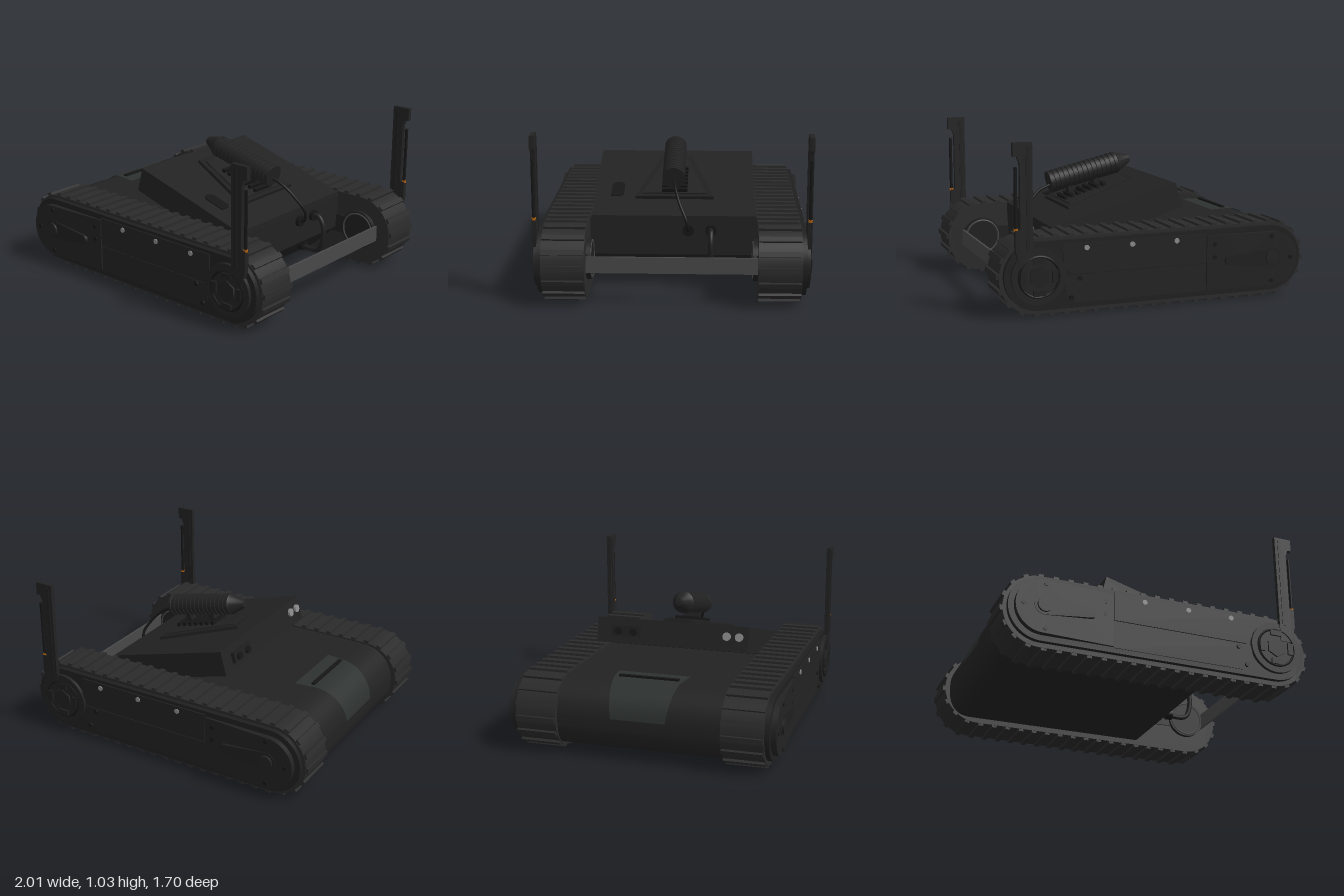
import * as THREE from 'three';
import { toCreasedNormals } from 'three/addons/utils/BufferGeometryUtils.js';

const mat = (color, side = THREE.FrontSide) => new THREE.MeshStandardMaterial({ color, side });
const BODY = mat(0x222222), PLATE = mat(0x1f1f1f), TRACK = mat(0x2a2a2a), DARK = mat(0x161616);
const BAR = mat(0x484848), BOLT = mat(0x8a8a8a), AMBER = mat(0xb06010), PANEL = mat(0x2c312f, THREE.DoubleSide);

export function createModel() {
  const root = new THREE.Group();
  root.name = 'trackedRobot';
  root.rotation.y = 0.017;

  const add = (name, geo, m, x = 0, y = 0, z = 0, parent = root) => {
    const mesh = new THREE.Mesh(geo, m);
    mesh.name = name;
    mesh.position.set(x, y, z);
    parent.add(mesh);
    return mesh;
  };
  const box = (name, m, w, h, d, x, y, z, parent) => add(name, new THREE.BoxGeometry(w, h, d), m, x, y, z, parent);
  // shape in the side plane, extruded evenly about z
  const slab = (name, shape, depth, m, z, parent) => {
    const g = new THREE.ExtrudeGeometry(shape, { depth, bevelEnabled: false, curveSegments: 20 });
    g.translate(0, 0, -depth / 2);
    return add(name, toCreasedNormals(g, 0.6), m, 0, 0, z, parent);
  };
  // short cylinder lying along z
  const disc = (name, r, depth, m, x, y, z, parent, n = 32) =>
    add(name, new THREE.CylinderGeometry(r, r, depth, n).rotateX(Math.PI / 2), m, x, y, z, parent);
  const poly = (pts) => new THREE.Shape(pts.map(([x, y]) => new THREE.Vector2(x, y)));
  const tube = (name, pts, r, m) => add(name, new THREE.TubeGeometry(
    new THREE.CatmullRomCurve3(pts.map((p) => new THREE.Vector3(...p))), 32, r, 10), m);
  // rounded outline around two wheels of different size
  const capsule = (x0, r0, x1, r1, y) => {
    const s = new THREE.Shape();
    s.absarc(x0, y, r0, Math.PI / 2, Math.PI * 1.5, false);
    s.absarc(x1, y, r1, -Math.PI / 2, Math.PI / 2, false);
    return s;
  };

  // ---- track units ----
  const CX = 0.75, CY = 0.243, R = 0.226;
  for (const s of [1, -1]) {
    const unit = new THREE.Group();
    unit.name = s > 0 ? 'frontTrack' : 'backTrack';
    root.add(unit);
    slab('belt', capsule(-CX, R, CX, R, CY), 0.256, TRACK, s * 0.638, unit);
    // cleats all round the belt
    const straight = 2 * CX, arc = Math.PI * R, total = 2 * (straight + arc), N = 48;
    const cleatGeo = new THREE.BoxGeometry(0.032, 0.03, 0.25);
    for (let i = 0; i < N; i++) {
      let d = (i / N) * total, x, y, a = 0;
      const half = d >= total / 2;
      if (half) d -= total / 2;
      if (d < straight) { x = -CX + d; y = R; }
      else { a = -(d - straight) / R; x = CX - R * Math.sin(a); y = R * Math.cos(a); }
      if (half) { x = -x; y = -y; a += Math.PI; }
      add('cleat', cleatGeo, TRACK, x, CY + y, s * 0.638, unit).rotation.z = a;
    }
    // outer side plates
    slab('sidePlate', capsule(-CX, 0.203, CX, 0.203, 0.248), 0.03, PLATE, s * 0.78, unit);
    slab('upperPanel', poly([[-0.31, 0.25], [0.55, 0.25], [0.6, 0.3], [0.6, 0.43], [-0.31, 0.43]]), 0.01, BODY, s * 0.798, unit);
    slab('lowerPanel', poly([[-0.31, 0.075], [0.52, 0.075], [0.58, 0.13], [0.6, 0.24], [-0.31, 0.24]]), 0.006, BODY, s * 0.797, unit);
    // end cover, thinning towards the middle
    const cover = slab('endCover', capsule(-0.75, 0.168, -0.325, 0.001, 0.248), 0.05, BODY, s * 0.805, unit);
    cover.geometry.dispose();
    const cs = new THREE.Shape();
    cs.absarc(-0.75, 0.248, 0.168, Math.PI / 2, Math.PI * 1.5, false);
    cs.lineTo(-0.315, 0.08);
    cs.lineTo(-0.315, 0.416);
    const cg = new THREE.ExtrudeGeometry(cs, { depth: 0.05, bevelEnabled: false, curveSegments: 20 }).translate(0, 0, -0.025);
    const p = cg.attributes.position;
    for (let i = 0; i < p.count; i++) {
      if (p.getZ(i) * s > 0) p.setZ(i, s * (0.025 - 0.024 * Math.max(0, (p.getX(i) + 0.75) / 0.435)));
    }
    cg.computeVertexNormals();
    cover.geometry = toCreasedNormals(cg, 0.6);
    slab('coverLatch', capsule(-0.745, 0.062, -0.46, 0.03, 0.255), 0.03, PLATE, s * 0.818, unit);
    disc('latchKnob', 0.045, 0.03, BODY, -0.745, 0.255, s * 0.83, unit);
    for (const [x, y] of [[-0.74, 0.39], [-0.74, 0.11], [-0.87, 0.25], [-0.365, 0.36], [-0.365, 0.28], [0.5, 0.22], [0.55, 0.11]])
      disc('smallBolt', 0.014, 0.016, DARK, x, y, s * (x < -0.6 ? 0.826 : 0.803), unit, 12);
    for (const x of [-0.115, 0.17, 0.455]) disc('steelBolt', 0.016, 0.014, BOLT, x, 0.4, s * 0.802, unit, 16);

    // drive hub with four lugs
    disc('hubPlate', 0.165, 0.025, BODY, CX, 0.25, s * 0.804, unit, 40);
    add('hubRing', new THREE.TorusGeometry(0.12, 0.008, 6, 36), DARK, CX, 0.25, s * 0.816, unit);
    disc('hubCap', 0.065, 0.03, PLATE, CX, 0.25, s * 0.812, unit, 6);
    for (let i = 0; i < 4; i++) {
      const a = i * Math.PI / 2;
      box('hubLug', PLATE, 0.035, 0.075, 0.02, CX + 0.095 * Math.cos(a), 0.25 + 0.095 * Math.sin(a), s * 0.818, unit).rotation.z = a;
    }
    // inner wheel hub and its arm plate
    disc('innerHub', 0.125, 0.03, PLATE, CX, 0.25, s * 0.498, unit, 40);
    add('innerHubRing', new THREE.TorusGeometry(0.11, 0.006, 6, 36), BAR, CX, 0.25, s * 0.484, unit);
    box('innerArm', PLATE, 0.5, 0.12, 0.012, 0.62, 0.25, s * 0.508, unit);

    // upright mast with hooked top
    slab('mast', poly([[0.785, 0.3], [0.86, 0.3], [0.89, 0.41], [0.89, 0.53], [0.86, 0.53], [0.86, 0.91],
      [0.875, 0.95], [0.9, 0.95], [0.9, 1.03], [0.785, 1.03]]), 0.028, BODY, s * 0.808, unit);
    box('mastRib', PLATE, 0.02, 0.6, 0.036, 0.815, 0.71, s * 0.808, unit);
    add('antennaRod', new THREE.CylinderGeometry(0.01, 0.01, 0.36, 10), DARK, 0.883, 0.71, s * 0.808, unit);
    add('amberCollar', new THREE.CylinderGeometry(0.013, 0.013, 0.016, 10), AMBER, 0.883, 0.532, s * 0.808, unit);
  }

  // ---- hull between the tracks ----
  const hull = new THREE.Shape();
  hull.moveTo(0.57, 0.46);
  hull.lineTo(-0.735, 0.46);
  hull.absarc(-0.735, 0.25, 0.21, Math.PI / 2, Math.PI, false);
  hull.lineTo(-0.945, 0.2);
  hull.quadraticCurveTo(-0.93, 0.05, -0.8, 0.05);
  hull.lineTo(0.38, 0.05);
  hull.lineTo(0.56, 0.22);
  slab('hull', hull, 1.02, BODY, 0);
  box('rearCrossBar', BAR, 0.014, 0.1, 1.02, 0.875, 0.25, 0);

  // curved nose panel, narrowing forwards
  const nose = new THREE.PlaneGeometry(1, 1, 1, 14);
  const np = nose.attributes.position;
  for (let i = 0; i < np.count; i++) {
    const t = 0.5 - np.getY(i), side = np.getX(i) * 2;
    const a = Math.PI / 2 + Math.max(0, (t - 0.25) / 0.75) * 1.5;
    const x = t < 0.25 ? -0.615 - 0.12 * t / 0.25 : -0.735 + 0.216 * Math.cos(a);
    np.setXYZ(i, x, 0.25 + 0.216 * Math.sin(a), side * (0.23 - 0.06 * t));
  }
  nose.computeVertexNormals();
  add('nosePanel', nose, PANEL);
  box('noseHandle', DARK, 0.022, 0.02, 0.38, -0.72, 0.468, 0);

  // ---- tilted equipment housing ----
  slab('housing', poly([[-0.28, 0.545], [-0.24, 0.7], [0.57, 0.47], [0.57, 0.44], [0.02, 0.44], [0, 0.465]]), 1.0, BODY, 0);
  const deck = new THREE.Group();
  deck.name = 'housingDeck';
  deck.position.set(0.165, 0.585, 0);
  deck.rotation.z = -0.277;
  root.add(deck);
  // flat part on the deck: outline in x/z, rising along y
  const flat = (name, shape, h, m) => {
    const g = new THREE.ExtrudeGeometry(shape, { depth: h, bevelEnabled: false });
    return add(name, g.rotateX(-Math.PI / 2), m, 0, -0.002, 0, deck);
  };
  flat('cradlePad', poly([[-0.3, -0.1], [0.22, -0.245], [0.22, 0.245], [-0.3, 0.1]]), 0.022, PLATE);
  flat('cradlePadTop', poly([[-0.26, -0.075], [0.19, -0.2], [0.19, 0.2], [-0.26, 0.075]]), 0.03, BODY);
  const grip = new THREE.Shape();
  grip.absarc(0.06, -0.36, 0.04, Math.PI / 2, Math.PI * 1.5, false);
  grip.lineTo(0.19, -0.4);
  grip.lineTo(0.19, -0.34);
  grip.lineTo(0.17, -0.32);
  flat('recessedGrip', grip, 0.008, DARK);
  for (let i = 0; i < 7; i++) box('padStud', DARK, 0.022, 0.03, 0.16, -0.1 + i * 0.045, 0.035, 0, deck);
  for (const x of [-0.07, 0.11]) box('cradleLeg', PLATE, 0.035, 0.1, 0.06, x, 0.065, 0, deck);
  // lamps and socket box on the sloping end face
  for (const z of [0.36, 0.44])
    add('lamp', new THREE.CylinderGeometry(0.026, 0.026, 0.02, 20).rotateZ(Math.PI / 2 - 0.25), BOLT, -0.262, 0.635, z);
  box('socketBox', PLATE, 0.045, 0.07, 0.2, -0.262, 0.62, -0.3).rotation.z = -0.25;
  for (const z of [-0.35, -0.25])
    add('socket', new THREE.CylinderGeometry(0.024, 0.024, 0.02, 16).rotateZ(Math.PI / 2 - 0.25), DARK, -0.287, 0.625, z);

  // ---- ribbed canister with tapered tip ----
  const prof = [[0, -0.285], [0.025, -0.28], [0.064, -0.19]];
  for (let i = 0; i < 14; i++) {
    const y = -0.185 + i * 0.032;
    prof.push([0.07, y], [0.07, y + 0.02], [0.064, y + 0.022], [0.064, y + 0.031]);
  }
  prof.push([0.07, 0.264], [0.07, 0.283], [0, 0.283]);
  const can = new THREE.LatheGeometry(prof.map(([r, y]) => new THREE.Vector2(r, y)), 28);
  add('canister', toCreasedNormals(can, 0.5), BODY, 0.155, 0.737, 0.003).rotation.z = -Math.PI / 2 - 0.23;

  // ---- rear cables ----
  tube('canisterCable', [[0.42, 0.655, 0], [0.5, 0.62, -0.01], [0.58, 0.54, -0.04], [0.625, 0.45, -0.08], [0.61, 0.39, -0.09], [0.55, 0.38, -0.09]], 0.009, DARK);
  tube('rearHose', [[0.54, 0.38, -0.23], [0.62, 0.38, -0.23], [0.655, 0.33, -0.23], [0.655, 0.22, -0.23], [0.62, 0.155, -0.23], [0.46, 0.15, -0.23]], 0.016, PLATE);
  for (const [x, y, z] of [[0.57, 0.38, -0.23], [0.57, 0.38, -0.09], [0.5, 0.155, -0.23]])
    add('cableGland', new THREE.CylinderGeometry(0.035, 0.035, 0.04, 16).rotateZ(Math.PI / 2), DARK, x, y, z);

  const model = new THREE.Group();
  model.name = 'model';
  model.add(root);
  return model;
}
